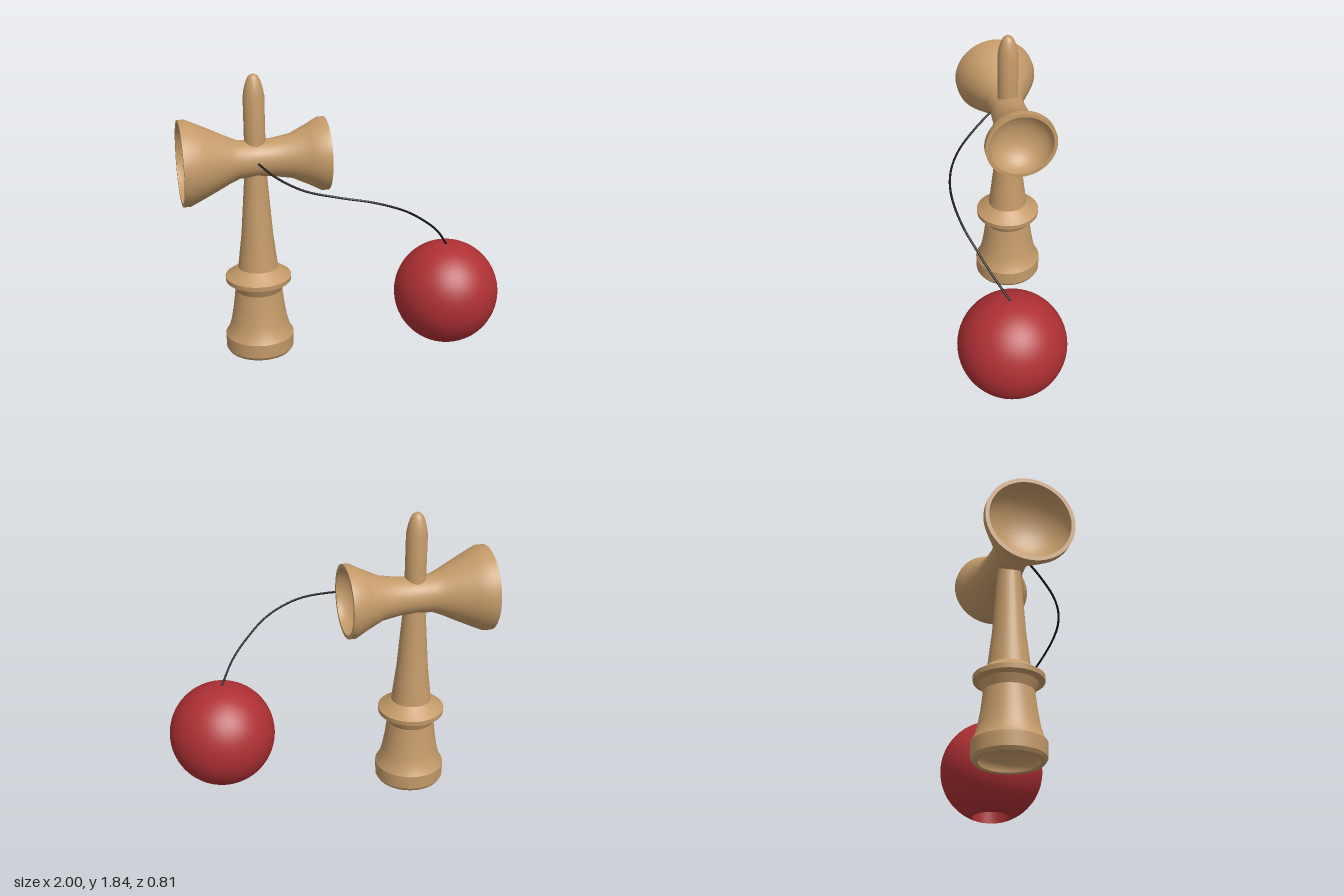
import * as THREE from 'three';
import { toCreasedNormals } from 'three/addons/utils/BufferGeometryUtils.js';

const wood = new THREE.MeshStandardMaterial({ color: 0xc49a69 });
wood.name = 'wood';
const red = new THREE.MeshStandardMaterial({ color: 0xae3034 });
red.name = 'red paint';
const black = new THREE.MeshStandardMaterial({ color: 0x1a1a1a });
black.name = 'black cord';

// Turned part: profile of [radius, height] pairs, sharp edges kept
function turned(name, profile, material, segments = 64) {
  const points = profile.map(([r, y]) => new THREE.Vector2(r, y));
  const mesh = new THREE.Mesh(toCreasedNormals(new THREE.LatheGeometry(points, segments), 0.5), material);
  mesh.name = name;
  return mesh;
}

// Hollow bowl from its centre out to the rim; dir +1 hollows upwards, -1 downwards
function bowl(radius, depth, rimY, dir, steps = 10) {
  const pts = [];
  for (let i = 0; i <= steps; i++) {
    const a = (i / steps) * Math.PI / 2;
    pts.push([radius * Math.sin(a), rimY + dir * depth * Math.cos(a)]);
  }
  return pts;
}

export function createModel() {
  const group = new THREE.Group();
  const axisX = -0.535, axisZ = -0.142, crossY = 1.3;

  // Handle: hollow foot, flared grip, collar and tapering neck
  const handle = turned('handle', [
    ...bowl(0.175, 0.1, 0, 1),
    [0.205, 0], [0.218, 0.02], [0.22, 0.11], [0.197, 0.148], [0.18, 0.21], [0.163, 0.31],
    [0.15, 0.42], [0.173, 0.472], [0.208, 0.485], [0.21, 0.515], [0.168, 0.543],
    [0.127, 0.575], [0.1, 0.8], [0.07, 1.2], [0.066, 1.3],
  ], wood);
  handle.position.set(axisX, 0, axisZ);
  group.add(handle);

  // Spike with a rounded point
  const spike = turned('spike', [
    [0.066, 1.3], [0.066, 1.7], [0.056, 1.755], [0.044, 1.795], [0.03, 1.822], [0.015, 1.833], [0, 1.836],
  ], wood, 48);
  spike.position.copy(handle.position);
  group.add(spike);

  // Crosspiece with a large cup on one end and a small cup on the other
  const cross = turned('crosspiece', [
    ...bowl(0.243, 0.17, -0.465, 1),
    [0.267, -0.465], [0.267, -0.42], [0.228, -0.335], [0.18, -0.235], [0.145, -0.165], [0.12, -0.105],
    [0.114, 0], [0.119, 0.105], [0.14, 0.225], [0.19, 0.33], [0.23, 0.405], [0.23, 0.445],
    ...bowl(0.207, 0.15, 0.445, -1).reverse(),
  ], wood);
  cross.rotation.z = -Math.PI / 2;
  cross.position.set(axisX, crossY, axisZ);
  group.add(cross);

  // Ball with a bored hole underneath
  const R = 0.336, holeR = 0.125;
  const ballProfile = [[0, -0.1], [0.118, -0.1]];
  const start = Math.asin(holeR / R);
  for (let i = 0; i <= 32; i++) {
    const a = start + (Math.PI - start) * i / 32;
    ballProfile.push([Math.max(0, R * Math.sin(a)), -R * Math.cos(a)]);
  }
  const ball = turned('ball', ballProfile, red);
  ball.position.set(0.66, 0.367, 0.067);
  group.add(ball);

  // Slack string from the crosspiece to the top of the ball
  const path = new THREE.CatmullRomCurve3([
    [-0.535, 1.3, -0.035], [-0.45, 1.245, 0.08], [-0.3, 1.192, 0.215], [-0.1, 1.163, 0.305],
    [0.1, 1.126, 0.335], [0.3, 1.045, 0.305], [0.45, 0.938, 0.235], [0.56, 0.832, 0.165], [0.657, 0.69, 0.07],
  ].map((p) => new THREE.Vector3(...p)));
  const string = new THREE.Mesh(new THREE.TubeGeometry(path, 80, 0.007, 8), black);
  string.name = 'string';
  group.add(string);

  return group;
}
